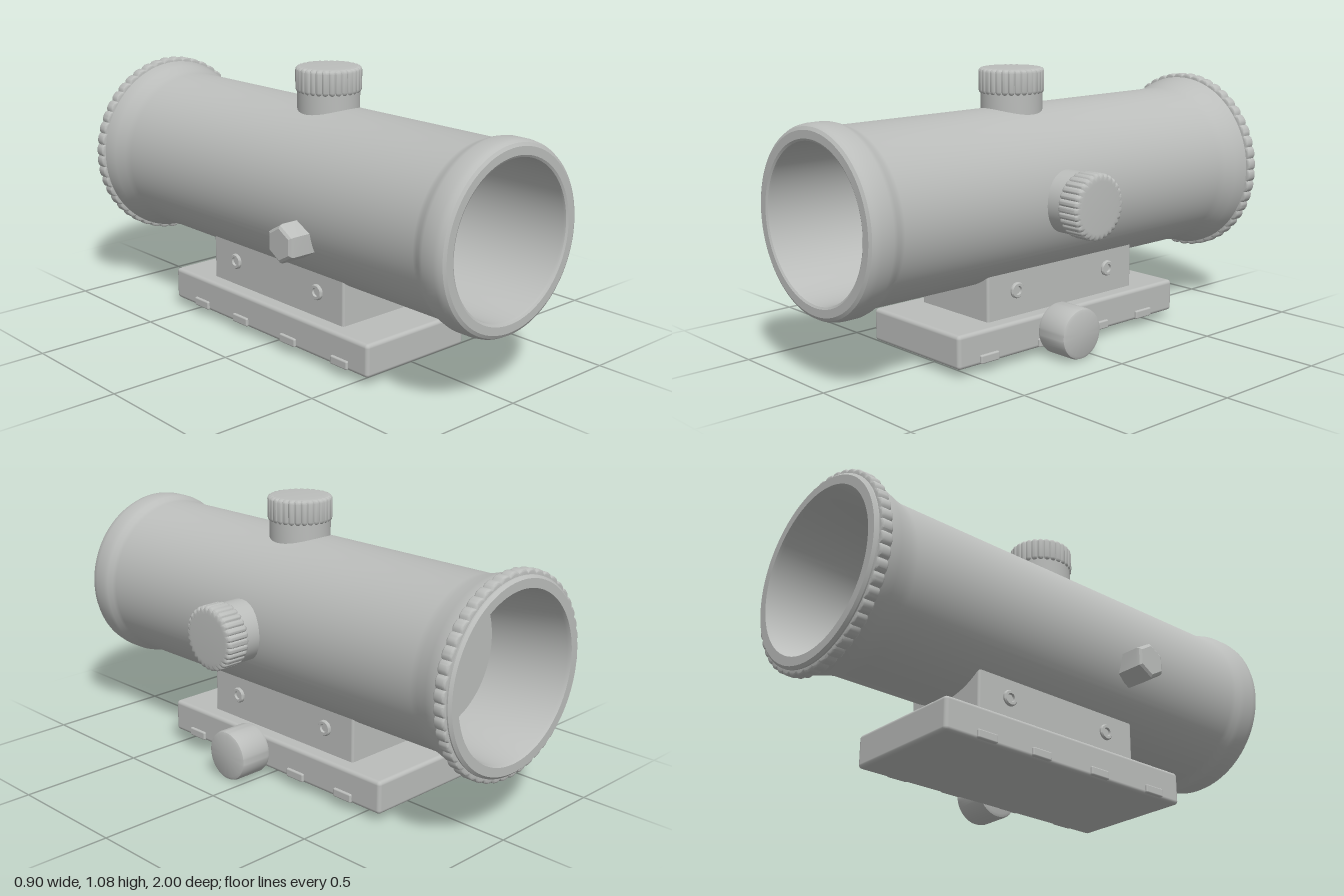
import * as THREE from 'three';
import { toCreasedNormals } from 'three/addons/utils/BufferGeometryUtils.js';
import { RoundedBoxGeometry } from 'three/addons/geometries/RoundedBoxGeometry.js';

const CX = -0.035, CY = 0.605; // tube axis

export function createModel() {
  const model = new THREE.Group();
  const grey = new THREE.MeshStandardMaterial({ color: 0xbbbdbb });
  grey.name = 'grey';

  const add = (name, geometry, x, y, z, parent = model) => {
    const mesh = new THREE.Mesh(geometry, grey);
    mesh.name = name;
    mesh.position.set(x, y, z);
    parent.add(mesh);
    return mesh;
  };
  // Profile points are [radius, height]
  const lathe = (points, segments = 64) => toCreasedNormals(
    new THREE.LatheGeometry(points.map(([r, h]) => new THREE.Vector2(r, h)), segments), 0.5);
  const box = (w, h, d, r = 0.015) => new RoundedBoxGeometry(w, h, d, 3, r);

  // Scalloped disc standing on y = 0, with an optional hole
  const scalloped = (radius, dip, lobes, height, bevel, hole = 0) => {
    const shape = new THREE.Shape();
    const steps = lobes * 6;
    for (let i = 0; i < steps; i++) {
      const a = i / steps * Math.PI * 2;
      const r = radius - dip + dip * Math.sqrt(Math.abs(Math.sin(a * lobes / 2)));
      shape[i ? 'lineTo' : 'moveTo'](r * Math.cos(a), r * Math.sin(a));
    }
    if (hole) shape.holes.push(new THREE.Path().absarc(0, 0, hole, 0, Math.PI * 2, true));
    const g = new THREE.ExtrudeGeometry(shape, {
      depth: height - 2 * bevel, bevelThickness: bevel, bevelSize: bevel,
      bevelOffset: -bevel, bevelSegments: 3, curveSegments: 64,
    });
    g.translate(0, 0, bevel).rotateX(-Math.PI / 2);
    return toCreasedNormals(g, 0.6);
  };

  // Hollow tube with a bell at each end
  const tube = lathe([
    [0.318, -1], [0.352, -1], [0.362, -0.99], [0.366, -0.93], [0.352, -0.885], [0.337, -0.835], [0.33, -0.8],
    [0.33, 0.85], [0.334, 0.87], [0.345, 0.89], [0.35, 0.91], [0.35, 0.96], [0.347, 0.98],
    [0.34, 0.993], [0.328, 1], [0.298, 1], [0.29, 0.995], [0.288, 0.985],
    [0.288, -0.66], [0.312, -0.985], [0.318, -1],
  ], 96);
  add('tube', tube.rotateX(Math.PI / 2), CX, CY, 0);
  add('rearGripRing', scalloped(0.382, 0.009, 48, 0.045, 0.008, 0.34).rotateX(Math.PI / 2), CX, CY, -0.985);

  // Lens closing the bore
  add('lens', new THREE.CylinderGeometry(0.287, 0.287, 0.01, 96).rotateX(Math.PI / 2), CX, CY, -0.66);

  // Adjustment knobs on top and on the left side
  const knob = (name) => {
    const group = new THREE.Group();
    group.name = name;
    add('knobBase', lathe([[0, 0], [0.12, 0], [0.12, 0.11], [0, 0.11]]), 0, 0, 0, group);
    add('knobGrip', scalloped(0.127, 0.007, 30, 0.1, 0.015), 0, 0.085, 0, group);
    model.add(group);
    return group;
  };
  knob('topKnob').position.set(CX, 0.9, 0.072);
  const side = knob('sideKnob');
  side.position.set(0.263, CY, 0.072);
  side.rotation.z = -Math.PI / 2;

  // Small six-sided cap on the other side
  const cap = new THREE.LatheGeometry([[0, 0], [0.075, 0], [0.075, 0.105], [0.071, 0.118], [0.06, 0.125], [0, 0.125]]
    .map(([r, h]) => new THREE.Vector2(r, h)), 6).rotateY(Math.PI / 2);
  add('sideCap', toCreasedNormals(cap, 0.5).rotateZ(Math.PI / 2), -0.325, 0.508, 0.265);

  // Mount
  add('mountBlock', box(0.39, 0.21, 0.78, 0.01), CX, 0.255, -0.02);
  add('mountPlate', box(0.51, 0.13, 1.165), CX, 0.1, -0.02);

  // Screws with a socket, and plate tabs, on both sides
  const screw = lathe([[0, 0], [0.031, 0], [0.031, 0.008], [0.027, 0.013], [0.017, 0.013], [0.015, 0.004], [0, 0.004]], 24);
  for (const s of [1, -1]) {
    for (const z of [0.225, -0.265]) {
      add('screw', screw, CX + s * 0.194, 0.265, z).rotation.z = -s * Math.PI / 2;
    }
    for (const z of [0.417, 0.125, -0.166, -0.42]) {
      add('plateTab', box(0.03, 0.034, 0.09, 0.006), CX + s * 0.25, 0.057, z);
    }
  }

  // Clamp knob
  const clamp = lathe([[0, 0], [0.085, 0], [0.096, 0.005], [0.1, 0.016], [0.1, 0.128],
    [0.096, 0.139], [0.085, 0.144], [0, 0.144]]);
  add('clampKnob', clamp.rotateZ(-Math.PI / 2), 0.222, 0.104, 0.075);
  add('clampStem', new THREE.CylinderGeometry(0.04, 0.04, 0.05, 32).rotateZ(Math.PI / 2), 0.21, 0.104, 0.075);

  return model;
}
